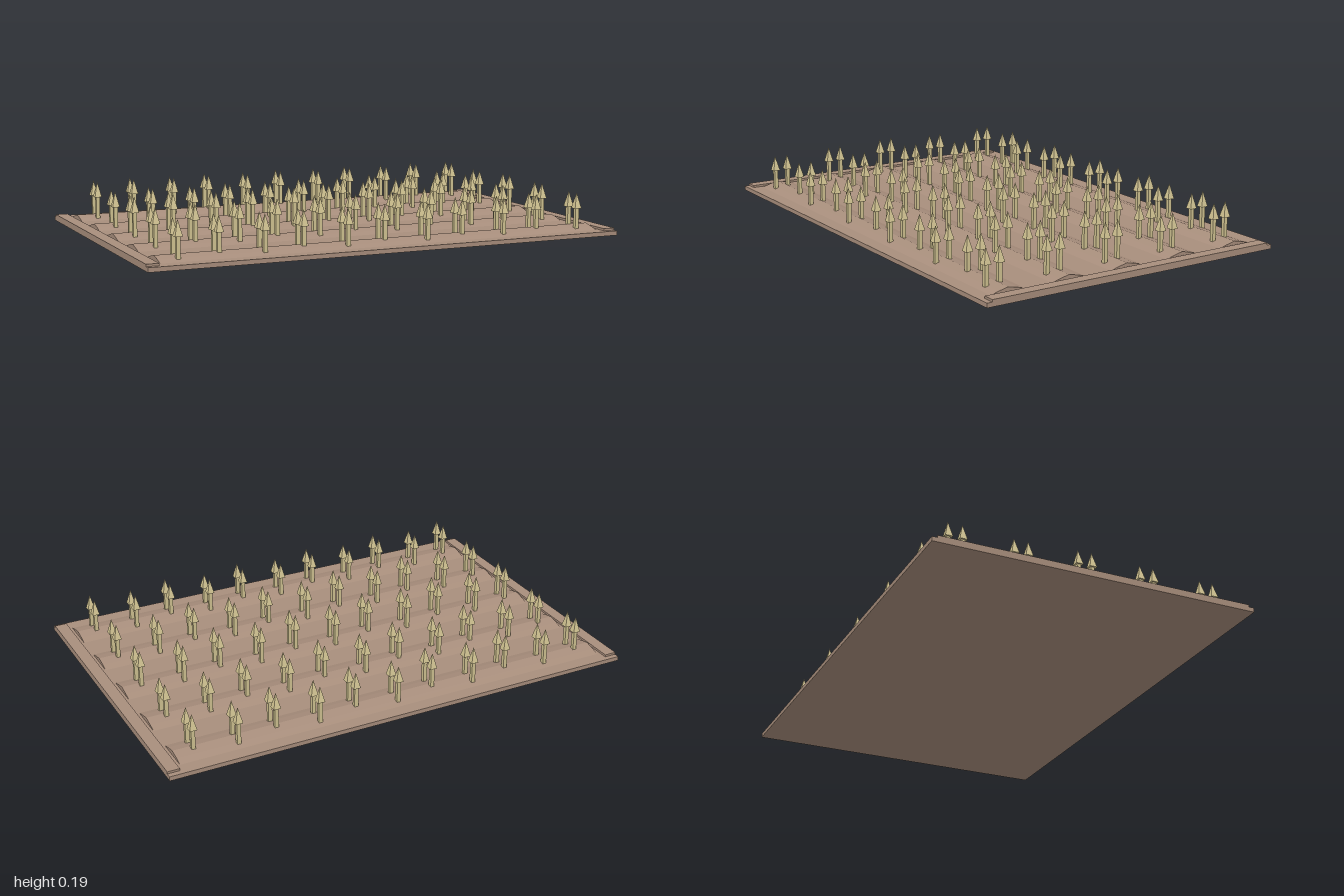
import * as THREE from 'three';

const wood = new THREE.MeshStandardMaterial({ color: 0xa88e7c, flatShading: true });
const bone = new THREE.MeshStandardMaterial({ color: 0xd2c492, flatShading: true });

function part(name, geometry, material, x = 0, y = 0, z = 0) {
  const mesh = new THREE.Mesh(geometry, material);
  mesh.name = name;
  mesh.position.set(x, y, z);
  return mesh;
}

export function createModel() {
  const model = new THREE.Group();
  model.name = 'spikeBoard';

  // Base slab and the two raised end rails
  const top = 0.018;
  model.add(part('base', new THREE.BoxGeometry(2, top, 1.334), wood, 0, top / 2, 0));
  const railGeometry = new THREE.BoxGeometry(0.05, 0.027, 1.29);
  for (const side of [-1, 1]) {
    model.add(part(side > 0 ? 'leftRail' : 'rightRail', railGeometry, wood, side * 0.975, 0.0136, 0));
  }

  // Low mound profile, extruded along x
  const profile = new THREE.Shape([
    [-0.075, 0.01], [0.075, 0.01], [0.075, top], [0.042, 0.028],
    [0, 0.037], [-0.042, 0.028], [-0.075, top],
  ].map(([z, y]) => new THREE.Vector2(z, y)));
  const moundGeometry = new THREE.ExtrudeGeometry(profile, { depth: 1.87, bevelEnabled: false });
  moundGeometry.translate(0, 0, -0.935).rotateY(Math.PI / 2);

  // Four-sided spike head with axis-aligned sides
  const headHeight = 0.064;
  const headGeometry = new THREE.ConeGeometry(0.0215, headHeight, 4).rotateY(Math.PI / 4);
  const tipHeights = [0.18, 0.173, 0.186];

  // Five rows: each has a mound and eleven staggered pairs of spikes
  for (let r = 0; r < 5; r++) {
    const row = new THREE.Group();
    row.name = 'spikeRow';
    row.position.z = (r - 2) * 0.267;
    row.add(part('mound', moundGeometry, wood));

    const tip = tipHeights[r % 3];
    const shaftHeight = tip - headHeight - 0.01;
    const shaftGeometry = new THREE.BoxGeometry(0.016, shaftHeight, 0.016);
    for (let c = 0; c < 11; c++) {
      const x = (c - 5) * 0.1714;
      const stagger = c % 2 ? -0.0163 : 0.0163;
      for (const dz of [-0.029, 0.029]) {
        const spike = new THREE.Group();
        spike.name = 'spike';
        spike.position.set(x, 0, stagger + dz);
        spike.add(part('shaft', shaftGeometry, bone, 0, 0.01 + shaftHeight / 2, 0));
        spike.add(part('spikeHead', headGeometry, bone, 0, tip - headHeight / 2, 0));
        row.add(spike);
      }
    }
    model.add(row);
  }
  return model;
}
